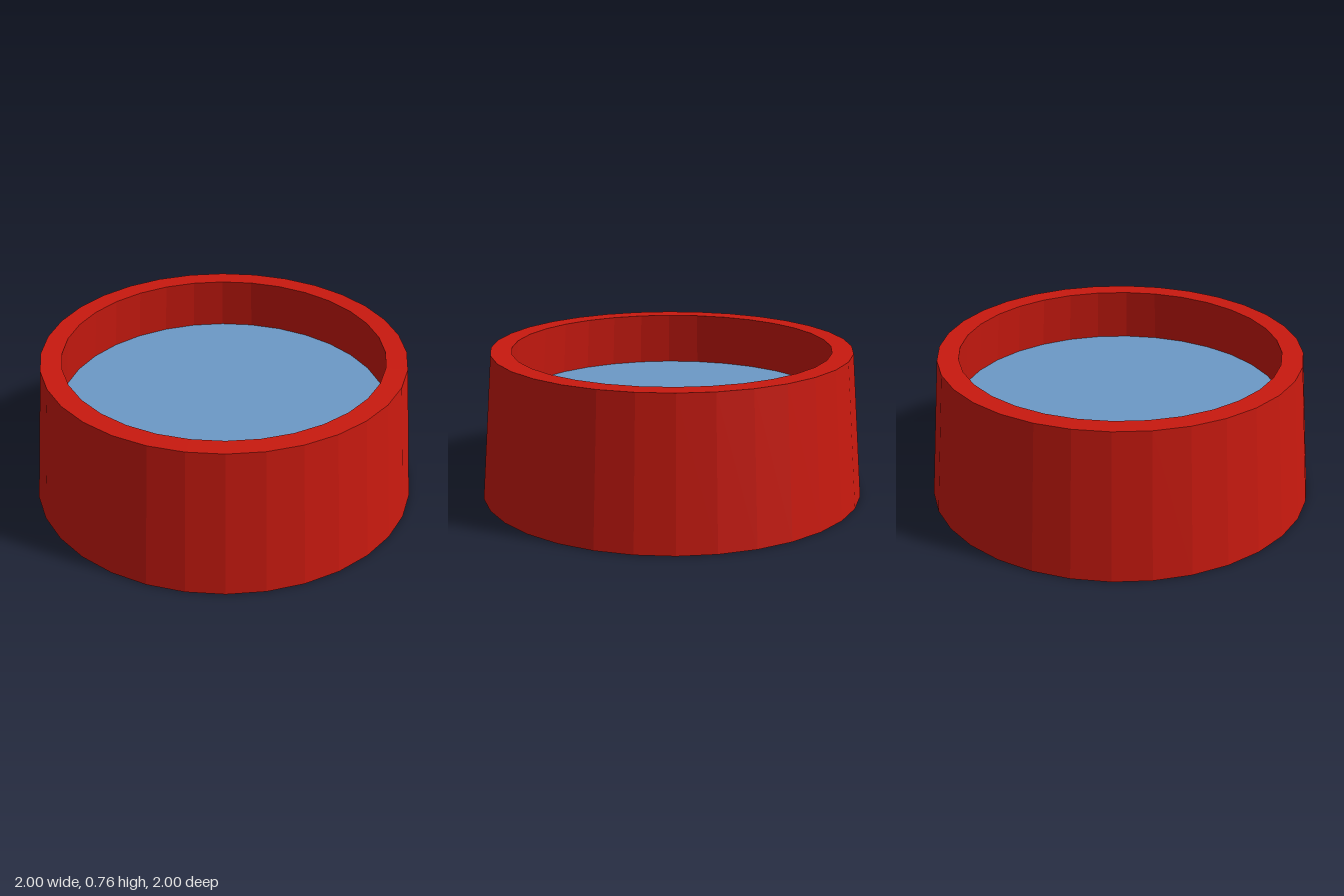
import * as THREE from 'three';

const SIDES = 32;

export function createModel() {
  const model = new THREE.Group();
  model.name = 'waterBowl';

  // Bowl: flat base, tapering outer wall, flat rim, undercut inner wall and floor
  const profile = [
    [0, 0], [1, 0], [0.937, 0.76], [0.828, 0.76], [0.858, 0.42], [0, 0.42],
  ].map(([r, y]) => new THREE.Vector2(r, y));
  const bowl = new THREE.Mesh(
    new THREE.LatheGeometry(profile, SIDES),
    new THREE.MeshStandardMaterial({ color: 0xc8190f, flatShading: true }),
  );
  bowl.name = 'bowl';
  model.add(bowl);

  // Water: flat disc meeting the inner wall
  const water = new THREE.Mesh(
    new THREE.CircleGeometry(0.853, SIDES).rotateX(-Math.PI / 2),
    new THREE.MeshStandardMaterial({ color: 0x6c99c6, flatShading: true }),
  );
  water.name = 'water';
  water.position.y = 0.48;
  model.add(water);

  return model;
}
